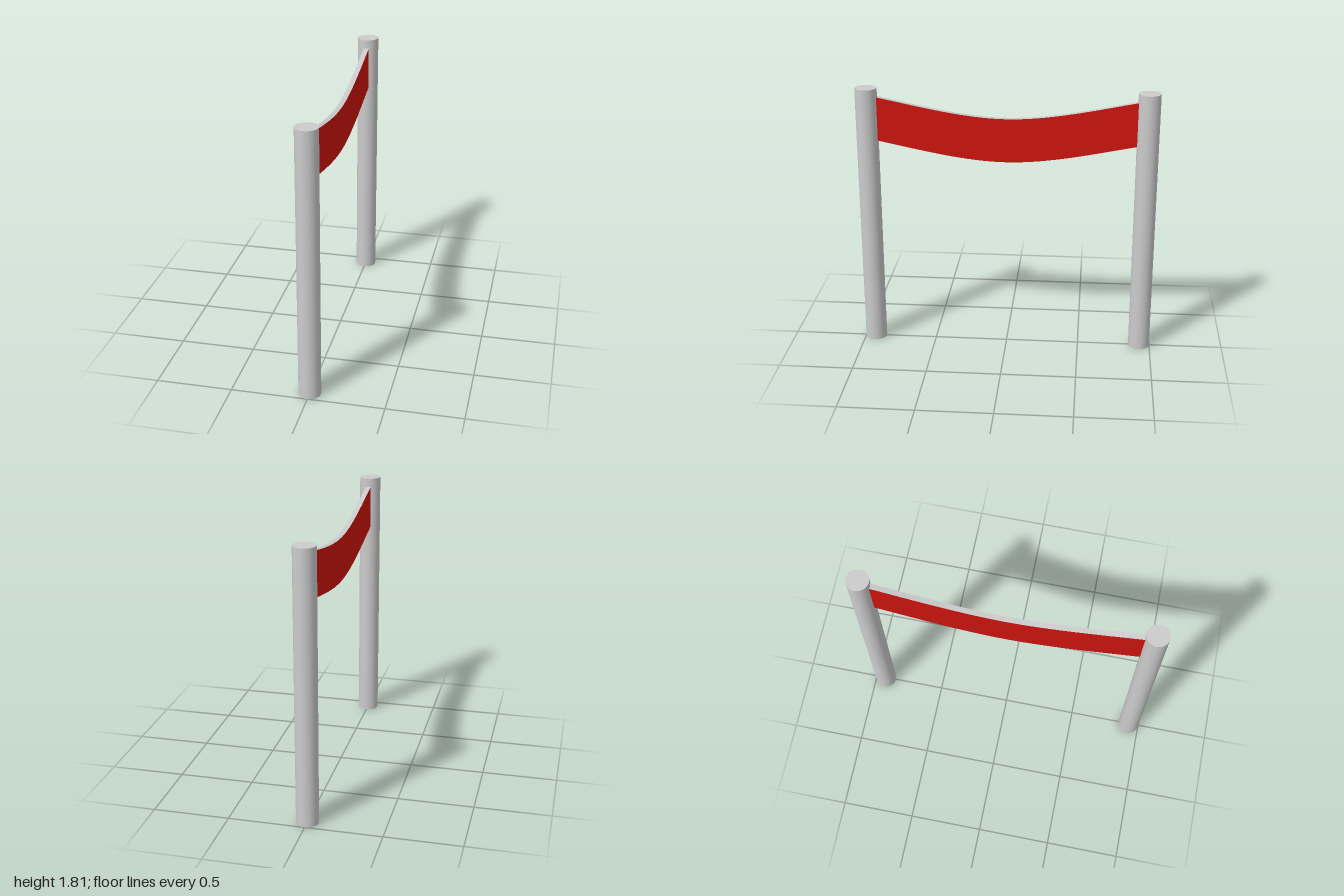
import * as THREE from 'three';

const HEIGHT = 1.81, RADIUS = 0.073, POST_Z = 1 - RADIUS;
const THICKNESS = 0.036, END_Z = 0.865;

export function createModel() {
  const group = new THREE.Group();
  const grey = new THREE.MeshStandardMaterial({ color: 0xcccccc });
  const red = new THREE.MeshStandardMaterial({ color: 0xd0140e });

  // Two round posts
  for (const side of [1, -1]) {
    const post = new THREE.Mesh(new THREE.CylinderGeometry(RADIUS, RADIUS, HEIGHT, 48), grey);
    post.name = side > 0 ? 'frontPost' : 'backPost';
    post.position.set(0, HEIGHT / 2, side * POST_Z);
    group.add(post);
  }

  // Sagging banner: one lower edge and one upper edge, each made of two mirrored curves
  const low = 1.326, high = 1.622, rise = 0.13, bend = 0.073;
  const shape = new THREE.Shape();
  shape.moveTo(-END_Z, low + rise);
  shape.bezierCurveTo(-0.58, low + bend, -0.28, low, 0, low);
  shape.bezierCurveTo(0.28, low, 0.58, low + bend, END_Z, low + rise);
  shape.lineTo(END_Z, high + rise);
  shape.bezierCurveTo(0.58, high + bend, 0.28, high, 0, high);
  shape.bezierCurveTo(-0.28, high, -0.58, high + bend, -END_Z, high + rise);
  const geometry = new THREE.ExtrudeGeometry(shape, {
    depth: THICKNESS, bevelEnabled: false, curveSegments: 16,
  });
  geometry.translate(0, 0, -THICKNESS / 2).rotateY(-Math.PI / 2);

  // Red faces, grey rim
  const banner = new THREE.Mesh(geometry, [red, grey]);
  banner.name = 'banner';
  group.add(banner);

  return group;
}
